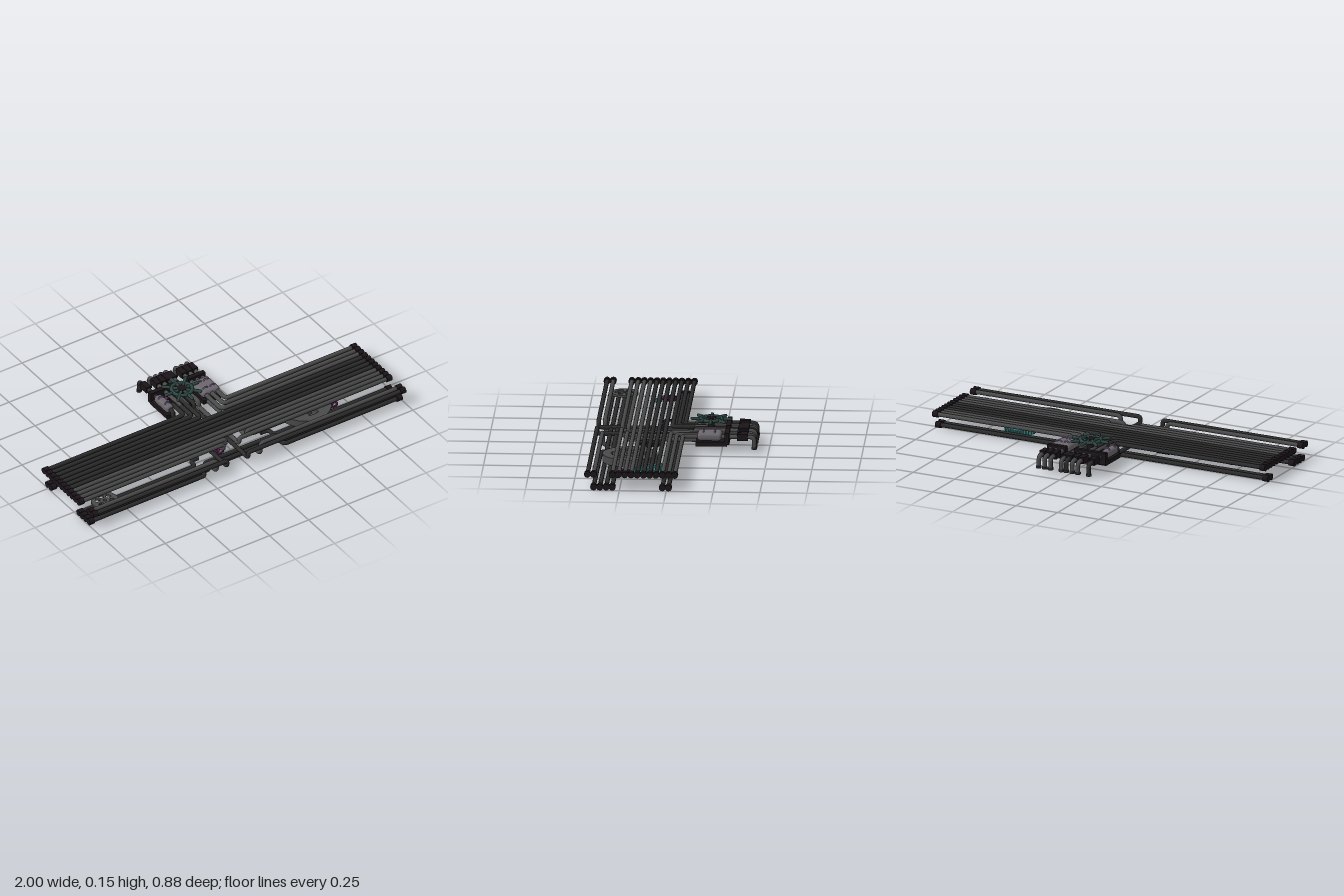
import * as THREE from 'three';
import { mergeGeometries } from 'three/addons/utils/BufferGeometryUtils.js';
import { RoundedBoxGeometry } from 'three/addons/geometries/RoundedBoxGeometry.js';

const V = (p) => new THREE.Vector3(...p);
const mats = {};
const mat = (color) => (mats[color] ??= new THREE.MeshStandardMaterial({ color }));
const BLACK = 0x1b1519, DARK = 0x2b2b2b, IRON = 0x4a4a4a, STEEL = 0x6a666c;
const TEAL = 0x3f8f90, GREEN = 0x2c4541, PURPLE = 0x5a2450, LILAC = 0x9a7ab5;
const R = 0.012, HI = 0.09, MID = 0.055, LO = 0.021;

export function createModel() {
  const root = new THREE.Group();
  const add = (name, geo, color, x = 0, y = 0, z = 0, parent = root) => {
    const m = new THREE.Mesh(geo, mat(color));
    m.name = name;
    m.position.set(x, y, z);
    parent.add(m);
    return m;
  };

  const rod = (a, b, r = R) => {
    const d = b.clone().sub(a);
    const g = new THREE.CylinderGeometry(r, r, d.length(), 12);
    g.applyQuaternion(new THREE.Quaternion().setFromUnitVectors(V([0, 1, 0]), d.normalize()));
    return g.translate(...a.clone().add(b).multiplyScalar(0.5).toArray());
  };

  // Pipe through corner points, with a rounded elbow at each inner corner
  const pipe = (name, points, color, r = R) => {
    const p = points.map(V), parts = [];
    let from = p[0];
    for (let i = 1; i < p.length; i++) {
      if (i === p.length - 1) { parts.push(rod(from, p[i], r)); break; }
      const before = p[i - 1].clone().sub(p[i]), after = p[i + 1].clone().sub(p[i]);
      const bend = Math.min(0.024, before.length() * 0.48, after.length() * 0.48);
      const s = p[i].clone().add(before.setLength(bend));
      const e = p[i].clone().add(after.setLength(bend));
      parts.push(rod(from, s, r));
      parts.push(new THREE.TubeGeometry(new THREE.QuadraticBezierCurve3(s, p[i], e), 6, r, 12));
      from = e;
    }
    add(name, mergeGeometries(parts), color);
  };

  const cap = (side, y, z) => {
    const g = new THREE.CylinderGeometry(0.018, 0.018, 0.032, 12).rotateZ(Math.PI / 2);
    add('pipeEndCap', g, BLACK, side * 0.984, y, z);
  };

  // Toothed or plain wheel lying flat, with ring-shaped slots and a hub hole
  const wheel = (name, x, y, z, r, h, teeth, slots, color) => {
    const s = new THREE.Shape();
    if (!teeth) s.absarc(0, 0, r, 0, Math.PI * 2);
    else for (let i = 0; i < teeth * 4; i++) {
      const a = (i / (teeth * 4)) * Math.PI * 2, q = i % 4 < 2 ? r : r * 0.87;
      s[i ? 'lineTo' : 'moveTo'](q * Math.cos(a), q * Math.sin(a));
    }
    const hub = new THREE.Path();
    hub.absarc(0, 0, r * 0.13, 0, Math.PI * 2, true);
    s.holes.push(hub);
    for (let i = 0; i < slots; i++) {
      const a = (i / slots) * Math.PI * 2 + 0.2, b = a + (Math.PI * 2) / slots - 0.4;
      const slot = new THREE.Path();
      slot.absarc(0, 0, r * 0.68, a, b, false);
      slot.absarc(0, 0, r * 0.35, b, a, true);
      slot.closePath();
      s.holes.push(slot);
    }
    const g = new THREE.ExtrudeGeometry(s, { depth: h, bevelEnabled: false, curveSegments: 20 });
    add(name, g.rotateX(-Math.PI / 2), color, x, y, z);
  };

  // Rear outlets: each pipe ends in a collar and a nozzle turned down
  const outlet = (x) => [[x, HI, -0.425], [x, 0.03, -0.425]];
  const ports = [-0.135, -0.07, -0.035, 0, 0.03, 0.095, 0.13, 0.165];
  for (const x of ports) {
    add('outletCollar', new THREE.BoxGeometry(0.031, 0.036, 0.058), BLACK, x, HI, -0.362);
    add('outletTip', new THREE.CylinderGeometry(0.015, 0.015, 0.013, 12), DARK, x, 0.03, -0.425);
  }
  const under = (x, z) => [[x, HI, z], [x, MID, z], [x, MID, -0.1], [x, HI, -0.1], ...outlet(x)];

  // Upper pipe deck
  const upper = Array.from({ length: 11 }, (_, i) => -0.045 + i * 0.0333);
  const rowColor = (z) => (z < 0.17 ? DARK : IRON);
  for (const z of upper.slice(3, 9)) pipe('upperPipe', [[-0.98, HI, z], [0.98, HI, z]], rowColor(z));
  [0.165, 0.13, 0.095].forEach((x, i) => {
    const z = upper[i];
    pipe('upperPipeRight', [[0.98, HI, z], [x, HI, z], ...outlet(x)], IRON);
    pipe('upperPipeLeft', [[-0.98, HI, z], [-0.1 + i * 0.03, HI, z], [-0.1 + i * 0.03, HI, -0.16]], DARK);
  });
  pipe('upperPipeLeft', [[-0.98, HI, upper[10]], ...under(-0.07, upper[10])], IRON);
  pipe('upperPipeLeft', [[-0.98, HI, upper[9]], ...under(-0.035, upper[9])], IRON);
  pipe('upperPipeRight', [[0.98, HI, upper[10]], ...under(0.03, upper[10])], IRON);
  pipe('upperPipeRight', [[0.98, HI, upper[9]], [0.1, HI, upper[9]], [0.1, MID, upper[9]],
    [0.1, MID, 0], [0.1, MID, -0.14]], IRON);

  // Front pair of upper pipes
  pipe('frontPipeLeft', [[-0.98, HI, 0.42], ...under(-0.135, 0.42)], DARK);
  pipe('frontPipeRight', [[0.98, HI, 0.42], ...under(0, 0.42)], DARK);
  pipe('frontCrossPipe', [[-0.98, HI, 0.387], [-0.18, HI, 0.387], [-0.18, LO, 0.387], [-0.18, LO, 0.335],
    [0.1, LO, 0.335], [0.1, LO, 0.387], [0.1, HI, 0.387], [0.98, HI, 0.387]], IRON);

  // Lower pipes
  for (const z of [0.021, -0.012]) pipe('lowerRearPipe', [[-0.98, LO, z], [0.98, LO, z]], DARK);
  for (const z of [0.354, 0.32]) {
    pipe('lowerFrontPipe', [[-0.98, LO, z], [-0.21, LO, z], [-0.21, 0.045, z], [0.24, 0.045, z],
      [0.24, LO, z], [0.98, LO, z]], DARK);
  }
  for (const side of [-1, 1]) {
    for (const z of [0.387, 0.288]) {
      pipe('lowerSidePipe', [[side * 0.98, LO, z], [side * 0.25, LO, z], [side * 0.25, LO, z - 0.05],
        [side * 0.2, LO, z - 0.05]], DARK);
    }
    for (const z of [...upper, 0.387, 0.42]) cap(side, HI, z);
    for (const z of [0.387, 0.354, 0.32, 0.288, 0.021, -0.012]) cap(side, LO, z);
  }

  // Jogged pipes between the decks
  pipe('joggedPipe', [[-0.38, MID, 0.03], [-0.3, MID, 0.03], [-0.3, MID, 0.075], [-0.05, MID, 0.075]], BLACK, 0.008);
  pipe('joggedPipe', [[0.1, MID, 0.2], [0.13, MID, 0.2], [0.13, MID, 0.26], [0.34, MID, 0.26]], IRON, 0.008);

  // Wheels and gears between the decks
  wheel('largeWheel', 0.49, 0.037, 0.22, 0.147, 0.041, 0, 6, IRON);
  wheel('tealLargeGear', 0.565, 0.006, 0.125, 0.085, 0.031, 32, 4, TEAL);
  wheel('purpleSideGear', 0.655, 0.02, 0.235, 0.036, 0.009, 14, 3, PURPLE);
  wheel('farWheel', -0.85, 0.052, 0.32, 0.075, 0.012, 0, 6, IRON);
  wheel('purpleGear', -0.755, 0.053, 0.07, 0.055, 0.01, 16, 5, PURPLE);
  wheel('smallTealGear', -0.69, 0.056, 0.14, 0.03, 0.01, 12, 3, TEAL);
  wheel('middleTealGear', -0.02, 0.03, 0.14, 0.06, 0.012, 20, 5, TEAL);
  wheel('middleDarkGear', 0.155, 0.04, 0.125, 0.066, 0.014, 20, 5, DARK);
  wheel('middlePurpleGear', -0.08, 0.018, 0.24, 0.038, 0.01, 14, 4, PURPLE);
  wheel('rearPurpleGear', -0.085, 0.052, -0.285, 0.05, 0.012, 16, 5, PURPLE);

  // Control block behind the deck
  add('leftBlock', new RoundedBoxGeometry(0.045, 0.044, 0.13, 3, 0.015), STEEL, -0.135, HI, -0.187);
  add('rightBlock', new RoundedBoxGeometry(0.11, 0.044, 0.13, 3, 0.018), STEEL, 0.13, HI, -0.187);
  add('leftBase', new THREE.BoxGeometry(0.055, 0.025, 0.165), BLACK, -0.135, 0.054, -0.197);
  add('rightBase', new THREE.BoxGeometry(0.12, 0.025, 0.165), BLACK, 0.13, 0.054, -0.197);
  add('centreBase', new THREE.CylinderGeometry(0.07, 0.07, 0.04, 20), BLACK, -0.02, 0.07, -0.187);
  for (const [x, w] of [[-0.07, 0.19], [0.13, 0.11]]) {
    add('outletBracket', new THREE.BoxGeometry(w, 0.065, 0.025), BLACK, x, 0.082, -0.28);
  }
  for (const x of [-0.135, 0.108, 0.152]) for (const z of [-0.155, -0.215]) {
    const clamp = new THREE.TorusGeometry(0.014, 0.004, 6, 12, Math.PI);
    add('lilacClamp', clamp, LILAC, x, 0.107, z);
  }

  // Hand wheel with radiating grips
  const hand = new THREE.Group();
  hand.name = 'handWheel';
  hand.position.set(-0.02, 0.14, -0.187);
  root.add(hand);
  add('rim', new THREE.TorusGeometry(0.056, 0.01, 10, 32).rotateX(Math.PI / 2), GREEN, 0, 0, 0, hand);
  add('hub', new THREE.CylinderGeometry(0.025, 0.025, 0.018, 16), BLACK, 0, 0, 0, hand);
  add('stem', new THREE.CylinderGeometry(0.012, 0.022, 0.06, 12), BLACK, 0, -0.03, 0, hand);
  for (let i = 0; i < 8; i++) {
    const g = new THREE.CapsuleGeometry(0.009, 0.08, 4, 8).rotateZ(Math.PI / 2).translate(0.062, 0, 0);
    add('grip', g.rotateY((i * Math.PI) / 4), GREEN, 0, 0, 0, hand);
  }
  return root;
}
